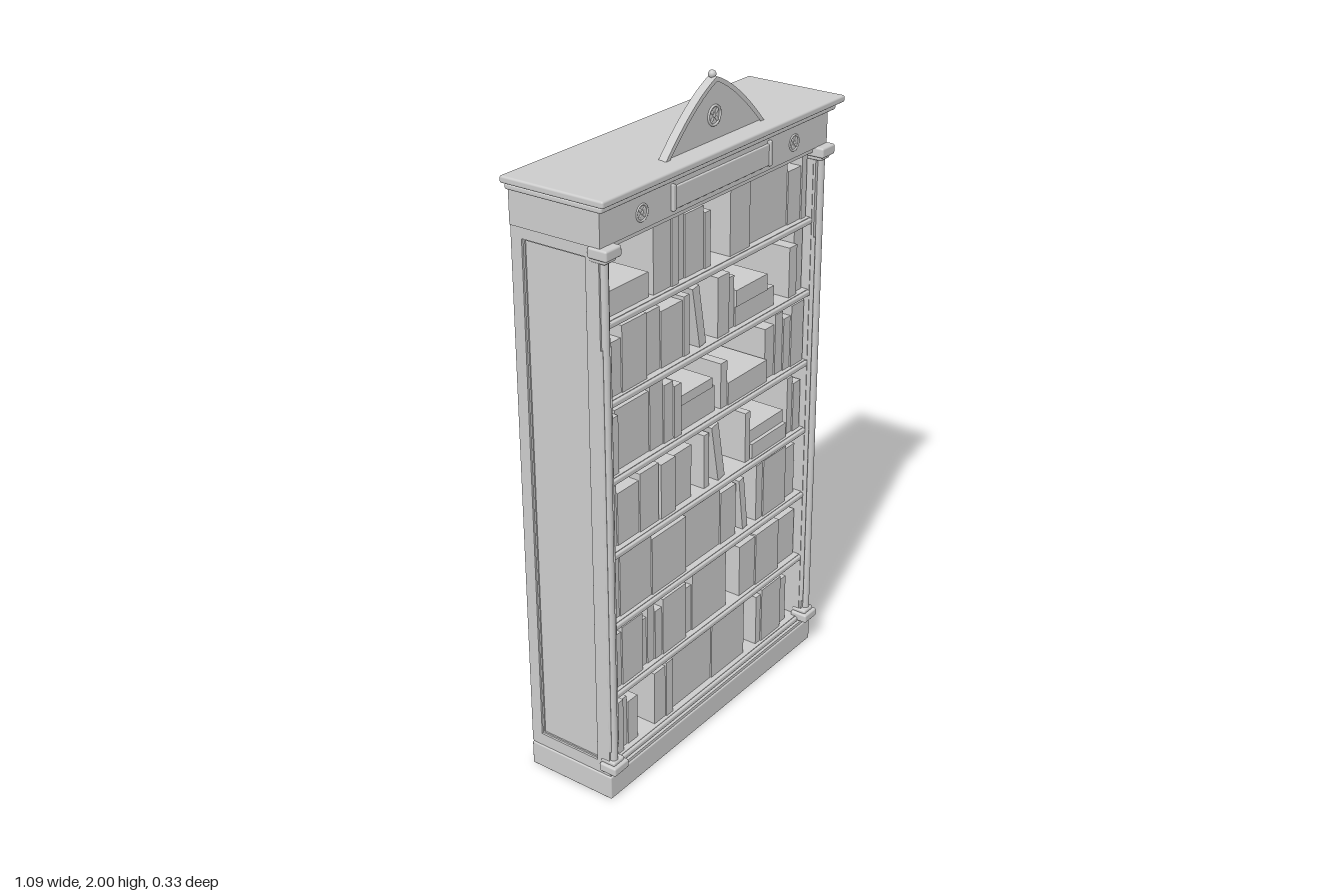
import * as THREE from 'three';
import { RoundedBoxGeometry } from 'three/addons/geometries/RoundedBoxGeometry.js';

export function createModel() {
  const model = new THREE.Group();
  model.name = 'bookcase';
  const grey = new THREE.MeshStandardMaterial({ color: 0xcccccc });
  grey.name = 'plain grey';

  function add(name, geometry, x = 0, y = 0, z = 0, parent = model) {
    const mesh = new THREE.Mesh(geometry, grey);
    mesh.name = name;
    mesh.position.set(x, y, z);
    parent.add(mesh);
    return mesh;
  }
  // Box given by its limits; a radius rounds its edges
  function block(name, x0, x1, y0, y1, z0, z1, radius = 0, parent = model) {
    const s = [x1 - x0, y1 - y0, z1 - z0];
    const g = radius ? new RoundedBoxGeometry(...s, 2, radius) : new THREE.BoxGeometry(...s);
    return add(name, g, (x0 + x1) / 2, (y0 + y1) / 2, (z0 + z1) / 2, parent);
  }
  // Flat rectangular frame in the xy plane, extruded along z
  function frameGeometry(x0, x1, y0, y1, border, depth) {
    const rect = (C, b) => new C([[x0 + b, y0 + b], [x1 - b, y0 + b], [x1 - b, y1 - b], [x0 + b, y1 - b]]
      .map(([x, y]) => new THREE.Vector2(x, y)));
    const shape = rect(THREE.Shape, 0);
    shape.holes.push(rect(THREE.Path, border));
    return new THREE.ExtrudeGeometry(shape, { depth, bevelEnabled: false });
  }
  // Round ornament with crossed spokes
  function rosette(name, x, y, z, r) {
    const g = new THREE.Group();
    g.name = name;
    g.position.set(x, y, z);
    add('rosetteRing', new THREE.TorusGeometry(r, r * 0.14, 8, 28), 0, 0, 0, g);
    add('rosetteCentre', new THREE.SphereGeometry(r * 0.25, 12, 8), 0, 0, 0, g).scale.z = 0.5;
    for (let i = 0; i < 4; i++) {
      const a = Math.PI * (0.25 + i / 2);
      const petal = add('rosettePetal', new THREE.SphereGeometry(r * 0.33, 12, 8),
        Math.cos(a) * r * 0.55, Math.sin(a) * r * 0.55, 0, g);
      petal.rotation.z = a;
      petal.scale.set(1.1, 0.6, 0.3);
    }
    model.add(g);
  }

  // Plinth, frieze and cornice
  block('plinth', -0.515, 0.515, 0, 0.075, -0.165, 0.127, 0.004);
  block('plinthCap', -0.51, 0.51, 0.073, 0.085, -0.163, 0.122);
  block('frieze', -0.515, 0.515, 1.675, 1.775, -0.165, 0.127);
  block('friezeSoffit', -0.48, 0.48, 1.66, 1.68, -0.155, 0.117);
  block('corniceLower', -0.53, 0.53, 1.773, 1.79, -0.165, 0.145, 0.006);
  block('corniceNeck', -0.524, 0.524, 1.785, 1.797, -0.165, 0.14);
  block('corniceTop', -0.546, 0.546, 1.794, 1.814, -0.166, 0.164, 0.006);

  // Name plate on the frieze, with end strips and rosettes
  block('friezePlate', -0.215, 0.215, 1.69, 1.752, 0.12, 0.133, 0.003);
  for (const s of [-1, 1]) {
    block('plateEnd', s * 0.219 - 0.006, s * 0.219 + 0.006, 1.688, 1.76, 0.12, 0.137, 0.003);
    rosette('friezeRosette', s * 0.345, 1.72, 0.127, 0.022);
  }

  // Back panel set inside a narrow frame
  block('backPanel', -0.49, 0.49, 0.08, 1.68, -0.158, -0.145);
  add('backFrame', frameGeometry(-0.512, 0.512, 0.08, 1.68, 0.026, 0.01), 0, 0, -0.165);

  // Sides with recessed panels, and the front columns
  for (const s of [-1, 1]) {
    const side = new THREE.Group();
    side.name = s > 0 ? 'leftSide' : 'rightSide';
    model.add(side);
    const mid = s * 0.486;
    block('sideWall', mid - 0.016, mid + 0.016, 0.08, 1.68, -0.16, 0.113, 0, side);
    const frame = add('sideFrame', frameGeometry(-0.113, 0.165, 0.08, 1.68, 0.036, 0.012),
      s > 0 ? 0.5 : -0.512, 0, 0, side);
    frame.rotation.y = Math.PI / 2;
    const bead = add('panelMoulding', frameGeometry(-0.08, 0.132, 0.113, 1.647, 0.008, 0.006),
      s > 0 ? 0.5 : -0.506, 0, 0, side);
    bead.rotation.y = Math.PI / 2;

    block('pilaster', s * 0.492 - 0.02, s * 0.492 + 0.02, 0.08, 1.68, 0.1, 0.12, 0, side);
    add('column', new THREE.CylinderGeometry(0.012, 0.012, 1.56, 20), s * 0.495, 0.88, 0.122, side);
    for (const o of [-0.0165, 0.0165])
      add('columnBead', new THREE.CylinderGeometry(0.004, 0.004, 1.24, 8), s * 0.492 + o, 0.78, 0.121, side);
    const ends = [[1.646, 1.676, 0.032, 0.152], [1.634, 1.648, 0.024, 0.141],
      [0.09, 0.118, 0.032, 0.148], [0.116, 0.13, 0.024, 0.139]];
    for (const [y0, y1, w, z] of ends)
      block(y0 > 1 ? 'capital' : 'columnBase', s * 0.49 - w, s * 0.49 + w, y0, y1, 0.09, z, 0.006, side);
  }

  // Arched pediment with raised rim, rosette and finial
  const outline = (dx, dy) => {
    const p = new THREE.Shape();
    p.moveTo(-0.222 + dx, 1.812);
    p.quadraticCurveTo(-0.1 + dx * 0.5, 1.945 - dy, 0, 1.985 - dy);
    p.quadraticCurveTo(0.1 - dx * 0.5, 1.945 - dy, 0.222 - dx, 1.812);
    p.closePath();
    return p;
  };
  const extrude = (shape, depth) => new THREE.ExtrudeGeometry(shape, { depth, bevelEnabled: false, curveSegments: 16 });
  add('pediment', extrude(outline(0.003, 0.002), 0.018), 0, 0, 0.082);
  const rim = outline(0, 0);
  rim.holes.push(new THREE.Path(outline(0.017, 0.013).getPoints(16)));
  add('pedimentRim', extrude(rim, 0.01), 0, 0, 0.099);
  add('finial', new THREE.SphereGeometry(0.011, 16, 12), 0, 1.989, 0.093);
  rosette('pedimentRosette', 0, 1.88, 0.101, 0.026);

  // Shelves with a rounded front lip
  const tops = [0.105, 0.33, 0.556, 0.78, 1.007, 1.235, 1.46];
  for (const y of tops) {
    block('shelf', -0.472, 0.472, y - 0.017, y, -0.15, 0.108);
    block('shelfLip', -0.472, 0.472, y - 0.019, y - 0.002, 0.1, 0.116, 0.005);
  }

  // Books: each entry is left, right, height and an optional lift, in hundredths
  function row(level, books) {
    const y = tops[level];
    books.forEach(([a, b, h, lift = 0], i) => {
      const front = 0.1 - ((i * 3 + level) % 4) * 0.004;
      const back = -0.075 - ((i * 5 + level) % 3) * 0.012;
      block('book', a / 100, b / 100 - 0.0008, y + lift / 100, y + (lift + h) / 100, back, front);
    });
  }
  // Leaning book: bottom centre, top centre, thickness
  function leaning(level, xBottom, xTop, height, thick) {
    const tilt = Math.atan2(xBottom - xTop, height);
    const book = add('leaningBook', new THREE.BoxGeometry(thick, height / Math.cos(tilt) - 0.008, 0.17),
      (xBottom + xTop) / 2, tops[level] + height / 2, 0.012);
    book.rotation.z = tilt;
  }

  row(6, [[-46, -27.5, 7], [-26, -18.5, 19.5], [-18.5, -15.5, 19.5], [-15.5, -11.7, 19.5], [-11.7, -3.2, 18],
    [-3.2, -0.5, 16], [8, 17.5, 19.5], [17.5, 37.5, 19], [37.5, 44, 16], [44, 46.5, 19.5]]);
  row(5, [[-46, -40, 15.5], [-40, -29.5, 19], [-29.5, -22.3, 18], [-22.3, -12.7, 16.5], [-12.7, -10, 17.5],
    [2.5, 8, 18], [8, 12, 15.5], [12, 31.5, 6], [12, 27.5, 5, 6], [38, 42, 15.5], [42, 46.5, 19]]);
  row(4, [[-46, -42, 17], [-42, -27.5, 18], [-27.5, -21.7, 19.5], [-21.7, -17.5, 17.5], [-17.5, -14.3, 15.8],
    [-14.3, 3, 8], [-14.3, 1.5, 3, 8], [4.8, 8, 14], [8, 27.5, 7], [28, 32.7, 16], [32.7, 36.5, 19],
    [36.5, 40, 16.5], [40, 46.5, 19.5]]);
  row(3, [[-46, -42, 18.5], [-42, -32.7, 16], [-32.7, -24.3, 18], [-23.7, -17, 17], [-17, -8, 16.5],
    [-2.5, 0, 17], [17.5, 20, 16], [20.5, 38.5, 4.8], [20.5, 38.5, 4, 4.8], [40, 42.7, 18.5], [42.7, 46.5, 16]]);
  row(2, [[-46, -42, 18.5], [-42, -28, 19], [-28, -12, 18], [-12, 6, 19], [6, 13.7, 17],
    [23.7, 27, 18.5], [27, 39, 19], [39, 45.5, 17]]);
  row(1, [[-46.5, -42, 17.5], [-42, -32.7, 19], [-32.7, -29.5, 15.5], [-29.5, -26.4, 18.5], [-26.4, -23.2, 16],
    [-23.2, -12, 18.5], [-12, -8, 15.5], [-8, 9, 18.5], [15.5, 23.7, 17], [23.7, 36, 17.5], [36, 46.5, 16]]);
  row(0, [[-46, -42, 17.5], [-42, -39, 16.5], [-39, -34.5, 14.5], [-27, -21.7, 17.5], [-21.7, -18.5, 18.5],
    [-18.5, 2, 18.5], [2, 19, 18.5], [25, 27.5, 17], [27.5, 38, 18.5], [38, 42.7, 16]]);
  leaning(5, -0.04, -0.075, 0.19, 0.03);
  leaning(3, 0.055, 0.02, 0.19, 0.033);
  leaning(2, 0.18, 0.157, 0.18, 0.025);

  return model;
}
